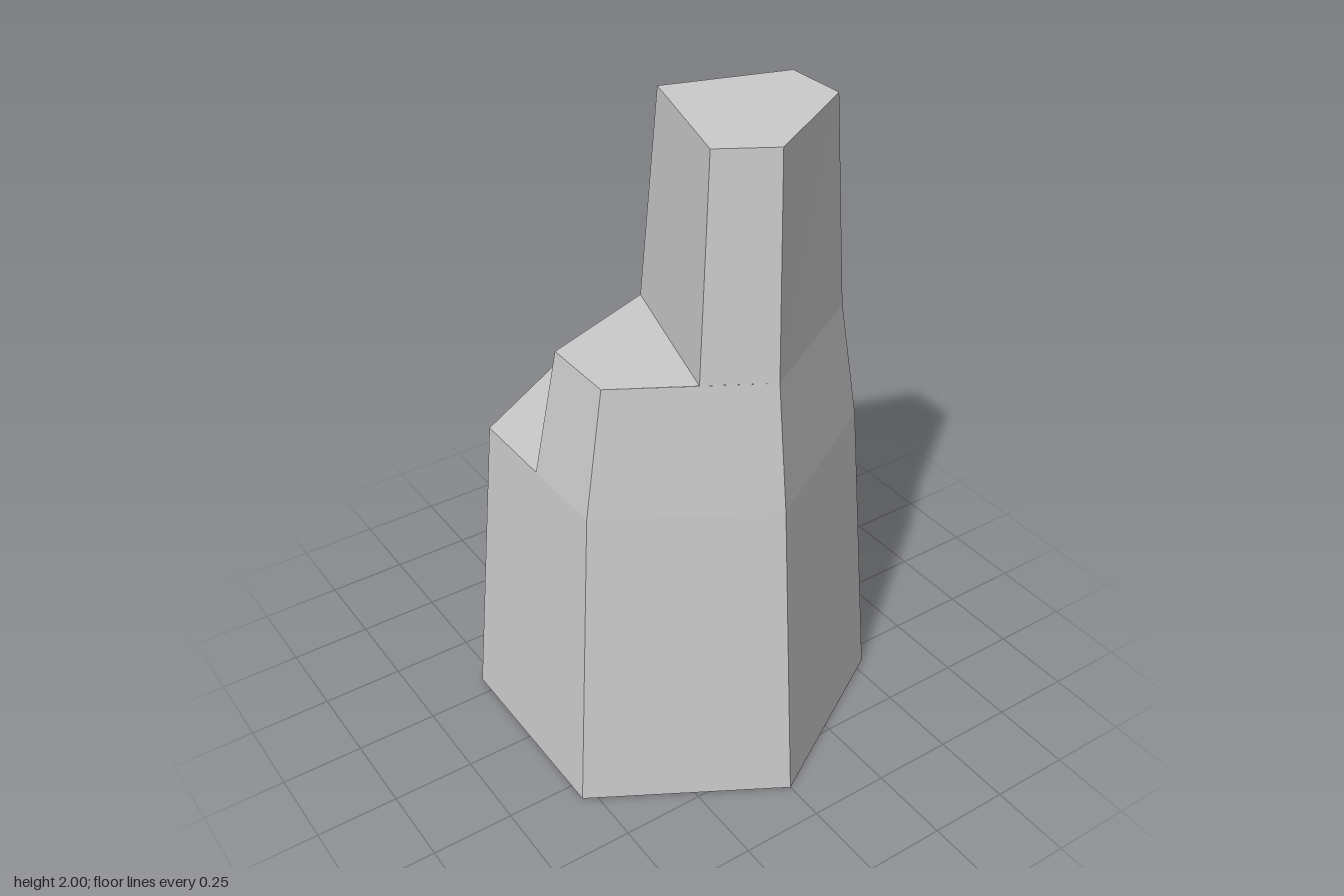
import * as THREE from 'three';

const material = new THREE.MeshStandardMaterial({ color: 0xcccccc, flatShading: true });

// Outlines are [x, z] corners, anticlockwise seen from above.
const hexagon = (x, zSide, z) => [[0, z], [x, zSide], [x, -zSide], [0, -z], [-x, -zSide], [-x, zSide]];

// Sloping sides joining two outlines with the same number of corners
function walls(name, y0, lower, y1, upper) {
  const pos = [];
  lower.forEach((a, i) => {
    const j = (i + 1) % lower.length;
    const b = lower[j], c = upper[j], d = upper[i];
    pos.push(a[0], y0, a[1], b[0], y0, b[1], c[0], y1, c[1]);
    pos.push(a[0], y0, a[1], c[0], y1, c[1], d[0], y1, d[1]);
  });
  const geometry = new THREE.BufferGeometry();
  geometry.setAttribute('position', new THREE.Float32BufferAttribute(pos, 3));
  geometry.computeVertexNormals();
  return named(name, geometry);
}

// Flat horizontal face, looking up (side = 1) or down (side = -1)
function flat(name, y, outline, side = 1) {
  const shape = new THREE.Shape(outline.map(([x, z]) => new THREE.Vector2(x, -z * side)));
  const geometry = new THREE.ShapeGeometry(shape);
  geometry.rotateX(-side * Math.PI / 2).translate(0, y, 0);
  return named(name, geometry);
}

function named(name, geometry) {
  const mesh = new THREE.Mesh(geometry, material);
  mesh.name = name;
  return mesh;
}

export function createModel() {
  const yLow = 0.98, yMid = 1.365, yTop = 2;
  const foot = hexagon(0.54, 0.312, 0.625);
  const shoulder = hexagon(0.465, 0.27, 0.54);

  // Middle block: the shoulder with its back cut away to an inner corner
  const midBase = [[0, 0.54], [0.465, 0.27], [0.465, 0], [-0.045, -0.155], [-0.465, 0], [-0.465, 0.27]];
  const midTop = [[0, 0.49], [0.4, 0.256], [0.4, 0.025], [-0.04, -0.108], [-0.4, 0.025], [-0.4, 0.256]];

  // Tall column: the middle block without its right part
  const columnBase = [...midTop.slice(0, 4), [-0.18, 0.384]];
  const columnTop = [[0.02, 0.44], [0.35, 0.245], [0.35, 0.053], [-0.013, -0.056], [-0.132, 0.35]];

  const backLedge = [shoulder[2], shoulder[3], shoulder[4], midBase[4], midBase[3], midBase[2]];
  const sideLedge = [midTop[3], midTop[4], midTop[5], columnBase[4]];

  const group = new THREE.Group();
  group.name = 'steppedRockColumn';
  group.add(
    flat('underside', 0, foot, -1),
    walls('lowerBlock', 0, foot, yLow, shoulder),
    flat('backLedge', yLow, backLedge),
    walls('middleBlock', yLow, midBase, yMid, midTop),
    flat('sideLedge', yMid, sideLedge),
    walls('tallColumn', yMid, columnBase, yTop, columnTop),
    flat('columnTop', yTop, columnTop),
  );
  return group;
}
